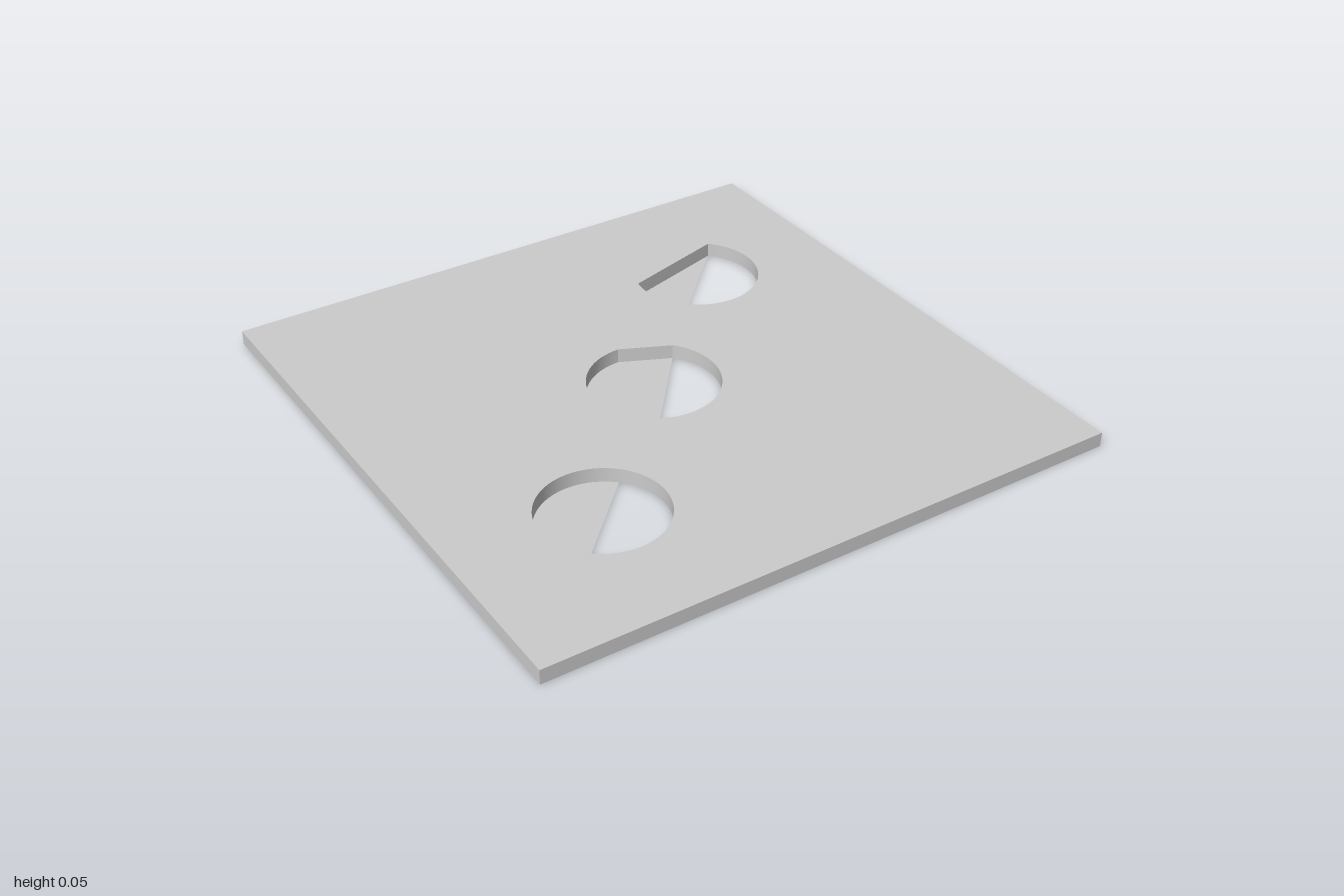
import * as THREE from 'three';
import { toCreasedNormals } from 'three/addons/utils/BufferGeometryUtils.js';

const THICK = 0.05;
const rad = THREE.MathUtils.degToRad;

// Holes on the diagonal. Plan coordinates are (x, -z); angles are in degrees.
// rim: arcs of the full-depth outline, joined by straight lines.
// open: the segment cut right through the floor.
const HOLES = [
  { name: 'frontHole', x: -0.5, y: -0.5, r: 0.207, rim: [[0, 360]], open: [-135, 45] },
  { name: 'middleHole', x: 0, y: 0, r: 0.22, rim: [[90, 180], [212, 401]], open: [240, 401] },
  { name: 'backHole', x: 0.5, y: 0.5, r: 0.218, rim: [[167, 405]], open: [225, 405] },
];

// Points of one or more arcs around a hole's centre, counter-clockwise
function arcPoints({ x, y, r }, arcs) {
  const pts = [];
  for (const [from, to] of arcs) {
    const n = Math.ceil((to - from) / 5);
    const count = to - from === 360 ? n - 1 : n;
    for (let i = 0; i <= count; i++) {
      const a = rad(from + ((to - from) * i) / n);
      pts.push(new THREE.Vector2(x + r * Math.cos(a), y + r * Math.sin(a)));
    }
  }
  return pts;
}

// Flat sheet with holes, facing up or down
function sheet(outline, holes, up) {
  const place = (pts) => pts.map((p) => new THREE.Vector2(p.x, up ? p.y : -p.y));
  const shape = new THREE.Shape(place(outline));
  shape.holes = holes.map((h) => new THREE.Path(place(h)));
  return new THREE.ShapeGeometry(shape).rotateX(up ? -Math.PI / 2 : Math.PI / 2);
}

// Upright wall along a closed outline, facing the inside of a counter-clockwise loop
function wall(pts) {
  const pos = [];
  pts.forEach((a, i) => {
    const b = pts[(i + 1) % pts.length];
    pos.push(a.x, 0, -a.y, a.x, THICK, -a.y, b.x, 0, -b.y);
    pos.push(b.x, 0, -b.y, a.x, THICK, -a.y, b.x, THICK, -b.y);
  });
  const geo = new THREE.BufferGeometry();
  geo.setAttribute('position', new THREE.Float32BufferAttribute(pos, 3));
  return toCreasedNormals(geo, rad(15));
}

export function createModel() {
  const group = new THREE.Group();
  group.name = 'perforatedPlate';
  const material = new THREE.MeshStandardMaterial({ color: 0xcccccc, side: THREE.DoubleSide });
  const add = (name, geometry) => {
    const mesh = new THREE.Mesh(geometry, material);
    mesh.name = name;
    group.add(mesh);
    return mesh;
  };

  const square = [[-1, -1], [1, -1], [1, 1], [-1, 1]].map(([x, y]) => new THREE.Vector2(x, y));
  const rims = HOLES.map((h) => arcPoints(h, h.rim));
  const openings = HOLES.map((h) => arcPoints(h, [h.open]));

  // Top surface with whole holes, floor with only their open segments
  add('topSurface', sheet(square, rims, true)).position.y = THICK;
  add('bottomSurface', sheet(square, openings, false));

  // Outer edge and hole walls
  add('outerEdge', wall([...square].reverse()));
  HOLES.forEach((h, i) => add(h.name + 'Wall', wall(rims[i])));

  return group;
}
